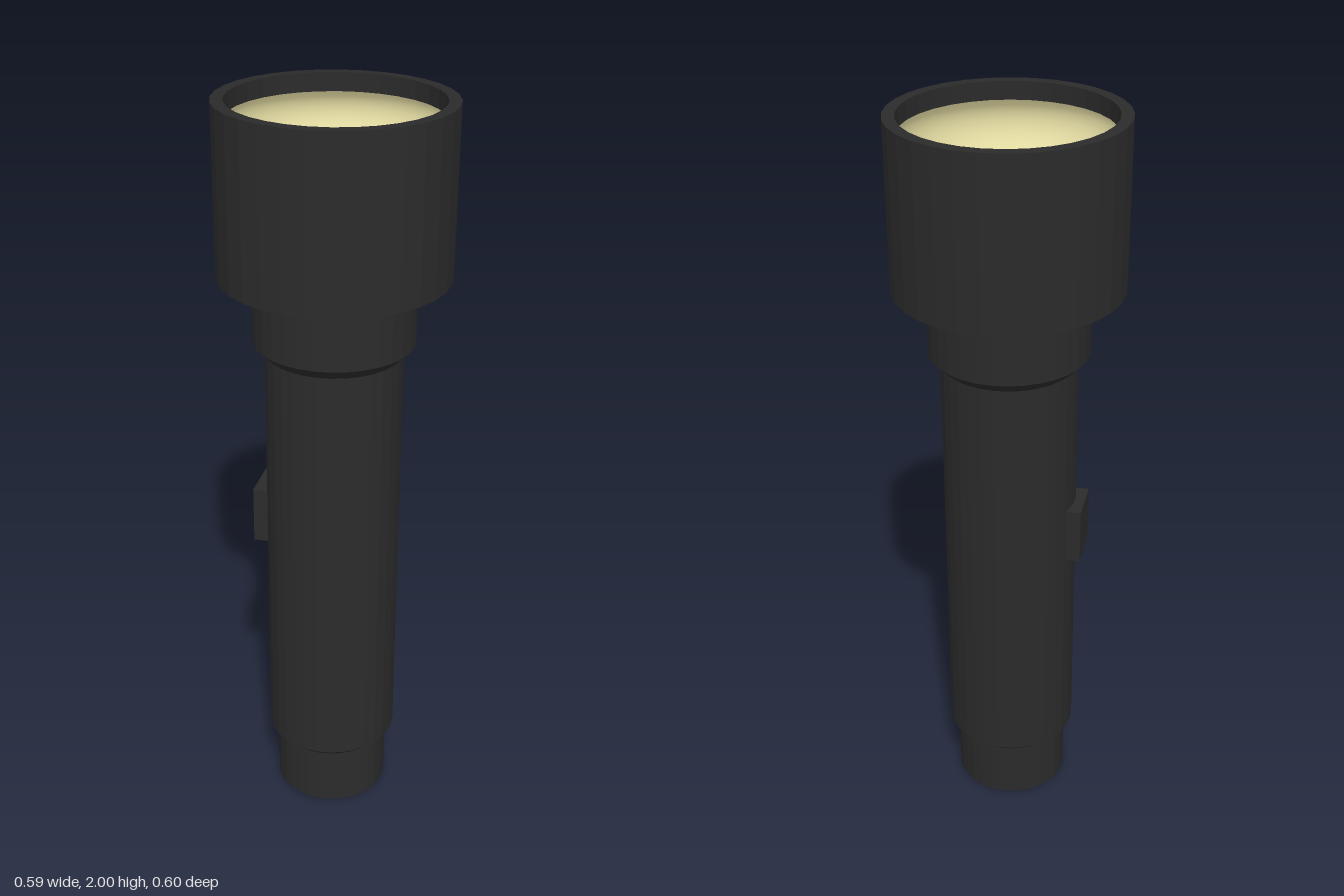
import * as THREE from 'three';

const SIDES = 32;
const LENGTH = 1.987;

export function createModel() {
  const black = new THREE.MeshStandardMaterial({ color: 0x2b2b2b, flatShading: true });
  black.name = 'black casing';
  const cream = new THREE.MeshStandardMaterial({ color: 0xe0d8a0 });
  cream.name = 'cream lens';

  const torch = new THREE.Group();
  torch.name = 'flashlight';

  const add = (name, geometry, material) => {
    const mesh = new THREE.Mesh(geometry, material);
    mesh.name = name;
    torch.add(mesh);
    return mesh;
  };
  const turned = (name, profile) => add(name,
    new THREE.LatheGeometry(profile.map(([r, y]) => new THREE.Vector2(r, y)), SIDES), black);

  // Narrow end cap
  turned('tailCap', [[0, 0], [0.155, 0], [0.155, 0.17]]);

  // Long grip with a chamfered lower end
  turned('handle', [[0.155, 0.167], [0.178, 0.19], [0.178, 1.355]]);

  // Collar between grip and head
  turned('collar', [[0.178, 1.35], [0.208, 1.38], [0.208, 1.53]]);

  // Wide head with an open rim and recessed floor
  turned('head', [
    [0.208, 1.525], [0.295, 1.553], [0.295, LENGTH],
    [0.264, LENGTH], [0.264, LENGTH - 0.055], [0, LENGTH - 0.055],
  ]);

  // Lens: a dome pressed almost flat that keeps its round shading
  const dome = new THREE.SphereGeometry(0.264, SIDES, 12, 0, Math.PI * 2, 0, Math.PI / 2);
  const p = dome.attributes.position;
  for (let i = 0; i < p.count; i++) p.setY(i, p.getY(i) * 0.02);
  add('lens', dome, cream).position.y = LENGTH - 0.047;

  // Side switch
  add('switchButton', new THREE.BoxGeometry(0.06, 0.155, 0.125), black)
    .position.set(-0.175, 0.87, 0);

  // Slight backward lean
  torch.rotation.x = -0.028;
  torch.position.set(0, 0.0045, 0.05);

  const model = new THREE.Group();
  model.name = 'model';
  model.add(torch);
  return model;
}
